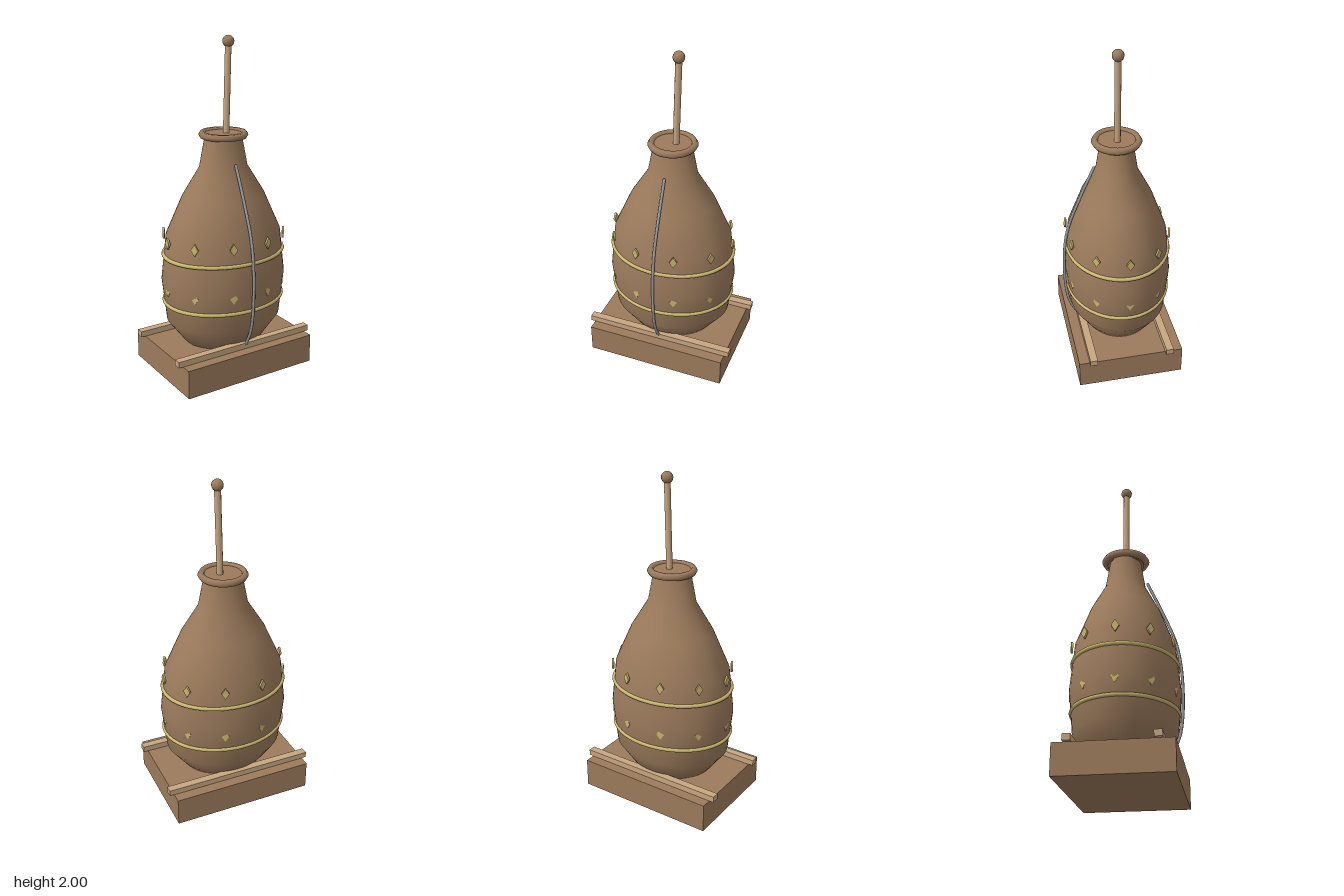
import * as THREE from 'three';

const material = (name, color) => {
  const m = new THREE.MeshStandardMaterial({ color });
  m.name = name;
  return m;
};

export function createModel() {
  const brown = material('brown wood', 0x9c7b5c);
  const tan = material('pale wood', 0xc8a680);
  const gold = material('brass', 0xccb870);
  const grey = material('grey metal', 0x9a9c9e);

  const model = new THREE.Group();
  model.name = 'churn';
  const add = (name, geometry, mat, x = 0, y = 0, z = 0, parent = model) => {
    const mesh = new THREE.Mesh(geometry, mat);
    mesh.name = name;
    mesh.position.set(x, y, z);
    parent.add(mesh);
    return mesh;
  };
  const CZ = -0.01; // centre line in depth
  const SQUASH = 0.82; // oval body, narrower front to back

  // Base block with two cross rails
  add('base', new THREE.BoxGeometry(0.87, 0.176, 0.64), brown, 0, 0.088, CZ);
  for (const s of [-1, 1]) {
    add('rail', new THREE.BoxGeometry(0.926, 0.036, 0.045), tan, 0, 0.194, CZ + s * 0.235);
  }

  // Oval bottle-shaped body
  const profile = [
    [0, 0.176], [0.255, 0.176], [0.362, 0.32], [0.391, 0.58], [0.36, 0.85],
    [0.256, 1.08], [0.149, 1.25], [0.114, 1.43],
  ].map(([r, y]) => new THREE.Vector2(r, y));
  const body = add('body', new THREE.LatheGeometry(profile, 48), brown, 0, 0, CZ);
  body.scale.z = SQUASH;

  // Round rim and lid
  const rim = add('rim', new THREE.TorusGeometry(0.124, 0.021, 6, 40), brown, 0, 1.438, CZ);
  rim.rotation.x = Math.PI / 2;
  add('lid', new THREE.CylinderGeometry(0.112, 0.112, 0.03, 40), brown, 0, 1.43, CZ);

  // Brass hoops following the oval
  for (const y of [0.44, 0.733]) {
    const hoop = new THREE.TorusGeometry(0.376, 0.012, 8, 64).rotateX(Math.PI / 2).scale(1, 1, SQUASH);
    add('hoop', hoop, gold, 0, y, CZ);
  }

  // Two rings of diamond studs; the lower ring is mostly sunk into the body
  const diamond = new THREE.CylinderGeometry(1, 1, 0.012, 4).scale(0.036, 1, 0.023).rotateZ(Math.PI / 2);
  for (const y of [0.54, 0.836]) {
    for (let i = 0; i < 10; i++) {
      const a = (i / 10) * Math.PI * 2;
      const stud = add('stud', diamond, gold, 0.38 * Math.cos(a), y, CZ + 0.38 * SQUASH * Math.sin(a));
      stud.rotation.y = -a;
    }
  }

  // Leaning plunger with a ball on top
  const plunger = new THREE.Group();
  plunger.name = 'plunger';
  plunger.position.set(0.018, 1.4, CZ);
  plunger.rotation.z = -0.027;
  model.add(plunger);
  add('rod', new THREE.CylinderGeometry(0.019, 0.019, 0.56, 10), tan, 0, 0.28, 0, plunger);
  add('knob', new THREE.SphereGeometry(0.034, 12, 10), brown, 0, 0.567, 0, plunger);

  // Thin pipe down the front
  const path = new THREE.CatmullRomCurve3([
    [1.275, 0.125], [1.08, 0.21], [0.85, 0.293], [0.58, 0.319], [0.32, 0.296], [0.2, 0.24],
  ].map(([y, z]) => new THREE.Vector3(0, y, z)));
  add('pipe', new THREE.TubeGeometry(path, 24, 0.009, 8), grey);
  const ends = [path.getPoint(0), path.getPoint(1)];
  for (const p of ends) add('pipeEnd', new THREE.SphereGeometry(0.009, 8, 6), grey, p.x, p.y, p.z);

  return model;
}
